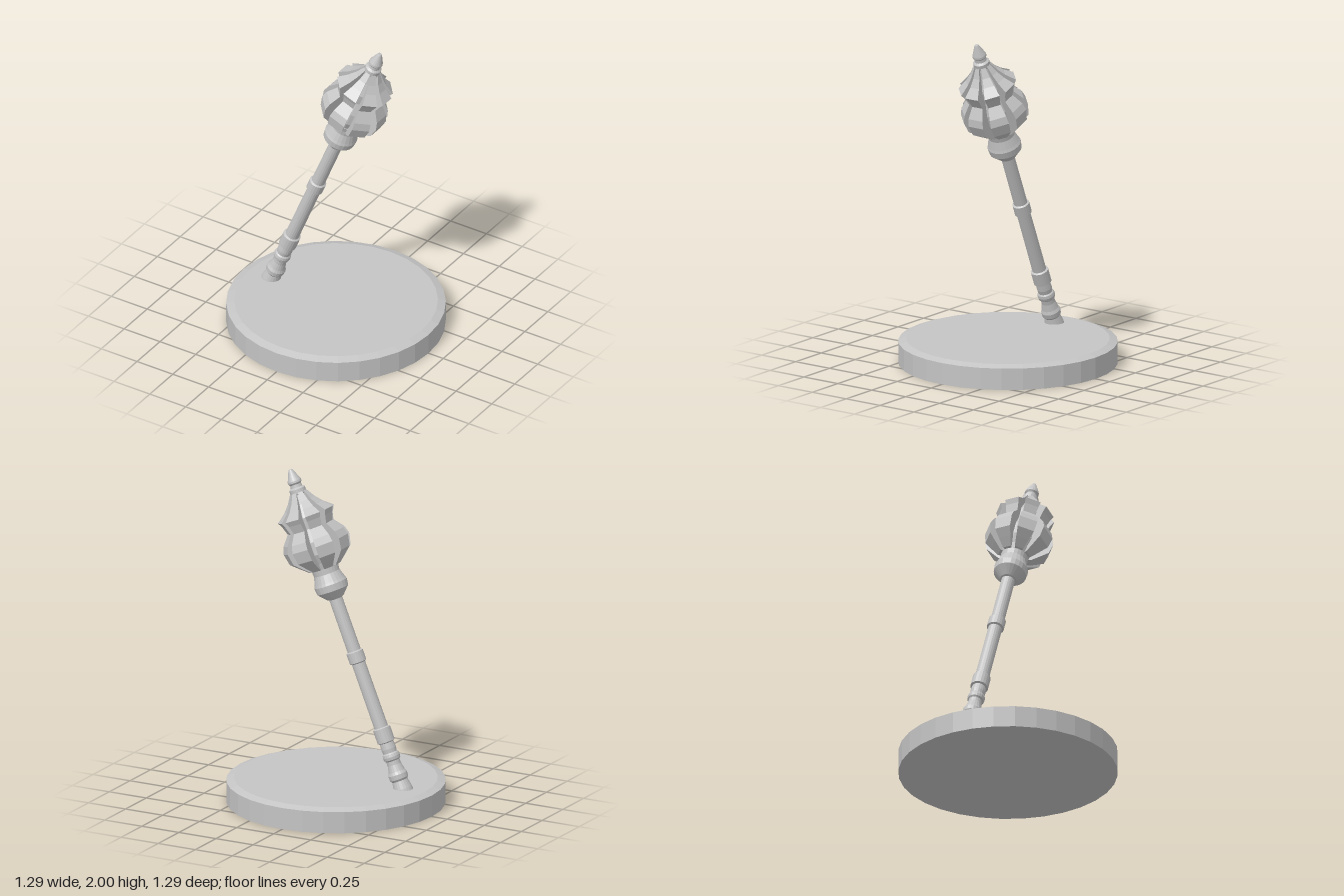
import * as THREE from 'three';

const stone = new THREE.MeshStandardMaterial({ color: 0xc4c4c4, flatShading: true });
stone.name = 'grey stone';

function addMesh(parent, name, geometry) {
  const mesh = new THREE.Mesh(geometry, stone);
  mesh.name = name;
  parent.add(mesh);
  return mesh;
}

// Turned part; each point is [distance along the axis, radius]
function turned(points, sides = 20) {
  return new THREE.LatheGeometry(points.map(([s, r]) => new THREE.Vector2(r, s)), sides);
}

// Wedge-shaped flange pointing along +x, skinned through its sections
function flangeGeometry(profile, inner, halfAngle) {
  const t = Math.tan(halfAngle);
  const sections = profile.map(([s, r]) => [
    [inner, s, -inner * t], [r, s, -r * t], [r, s, r * t], [inner, s, inner * t],
  ]);
  const positions = [];
  const quad = (a, b, c, d) => [a, b, c, a, c, d].forEach((p) => positions.push(...p));
  for (let i = 0; i < sections.length - 1; i++) {
    const lo = sections[i];
    const hi = sections[i + 1];
    for (let j = 0; j < 4; j++) {
      const k = (j + 1) % 4;
      quad(lo[j], hi[j], hi[k], lo[k]);
    }
  }
  const [a, b, c, d] = sections[0];
  quad(a, b, c, d);
  const [e, f, g, h] = sections[sections.length - 1];
  quad(e, h, g, f);
  const geometry = new THREE.BufferGeometry();
  geometry.setAttribute('position', new THREE.Float32BufferAttribute(positions, 3));
  geometry.computeVertexNormals();
  return geometry;
}

export function createModel() {
  const model = new THREE.Group();
  model.name = 'maceOnStand';

  // Round base with a bevelled top edge
  addMesh(model, 'base', turned([
    [0, 0], [0, 0.647], [0.13, 0.647], [0.146, 0.6], [0.146, 0],
  ], 32));

  // Leaning mace, built upright along its own axis
  const mace = new THREE.Group();
  mace.name = 'mace';
  mace.position.set(-0.45, 0.145, 0);
  mace.rotation.z = -0.389;
  model.add(mace);

  // Handle with flared foot and small bead
  addMesh(mace, 'handle', turned([
    [-0.04, 0], [-0.04, 0.06], [0, 0.057], [0.05, 0.047], [0.062, 0.056], [0.09, 0.058],
    [0.108, 0.05], [0.15, 0.041], [0.175, 0.041], [0.183, 0.049], [0.2, 0.052],
    [0.217, 0.049], [0.225, 0.042], [0.25, 0.045], [0.29, 0.042], [1.22, 0.04],
  ]));

  // Rings around the handle
  for (const [name, from, to, r] of [['gripRing', 0.285, 0.385, 0.053], ['middleRing', 0.785, 0.865, 0.051]]) {
    addMesh(mace, name, turned([
      [from, 0.038], [from + 0.008, r], [to - 0.008, r], [to, 0.038],
    ]));
  }

  // Waisted collar under the head
  addMesh(mace, 'collar', turned([
    [1.19, 0.038], [1.195, 0.05], [1.245, 0.097], [1.285, 0.101], [1.3, 0.095],
    [1.35, 0.079], [1.385, 0.082], [1.42, 0.094], [1.425, 0],
  ], 24));

  // Core hidden between the flanges
  addMesh(mace, 'headCore', turned([
    [1.39, 0.075], [1.48, 0.115], [1.56, 0.115], [1.64, 0.09], [1.71, 0.095],
    [1.79, 0.06], [1.86, 0.042],
  ]));

  // Eight flanges around the head
  const flange = flangeGeometry([
    [1.385, 0.095], [1.425, 0.14], [1.465, 0.183], [1.535, 0.197], [1.58, 0.183],
    [1.64, 0.137], [1.69, 0.153], [1.72, 0.168], [1.765, 0.115], [1.807, 0.08], [1.86, 0.048],
  ], 0.03, 0.27);
  const flanges = new THREE.Group();
  flanges.name = 'flanges';
  mace.add(flanges);
  for (let i = 0; i < 8; i++) {
    addMesh(flanges, 'flange', flange).rotation.y = (i * Math.PI) / 4;
  }

  // Ring and pointed finial
  addMesh(mace, 'finial', turned([
    [1.84, 0.04], [1.85, 0.049], [1.88, 0.049], [1.89, 0.036], [1.908, 0.034],
    [1.918, 0.042], [1.93, 0.041], [1.992, 0.015], [2.0, 0.011], [2.0, 0],
  ]));

  return model;
}
